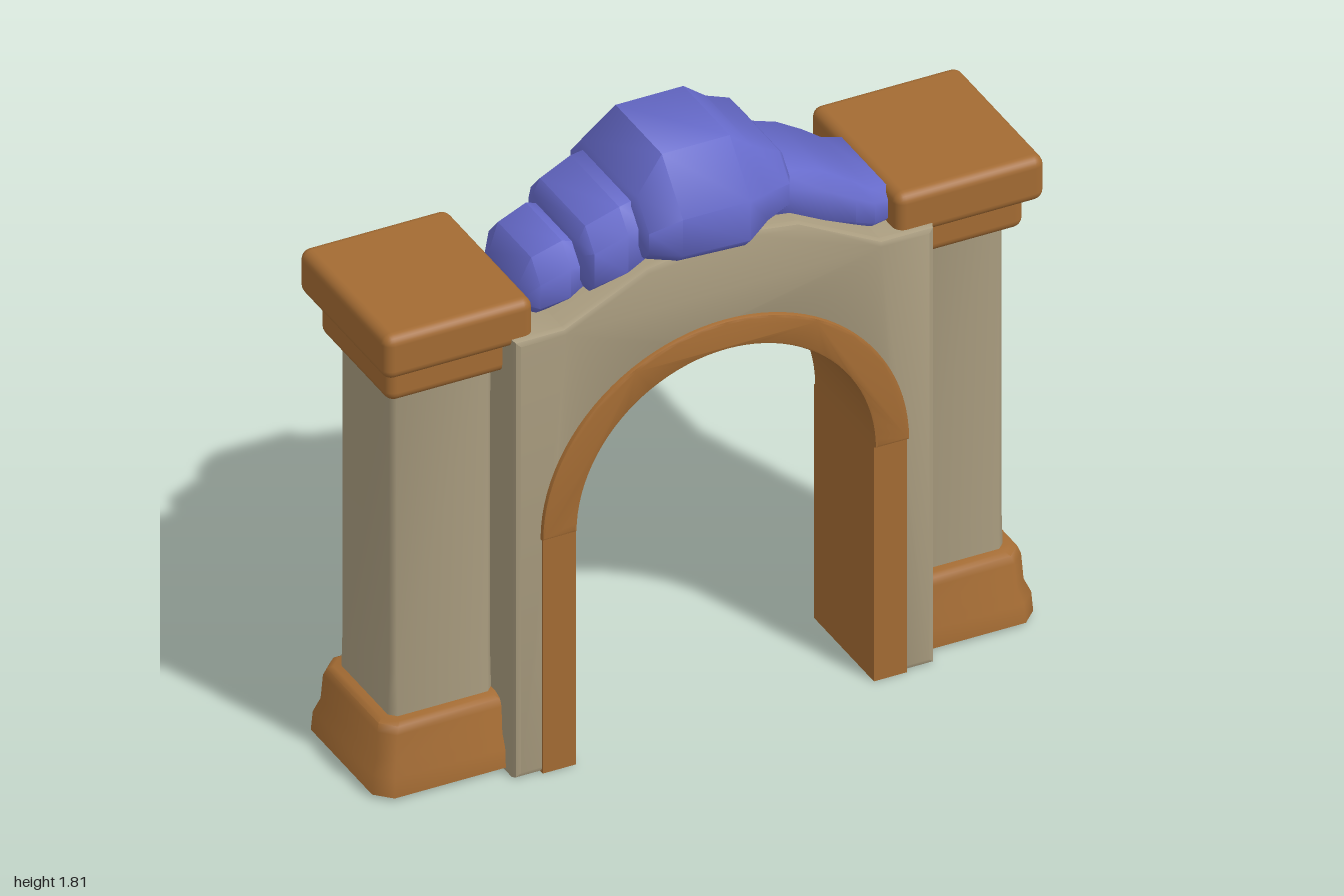
import * as THREE from 'three';
import { toCreasedNormals } from 'three/addons/utils/BufferGeometryUtils.js';
import { RoundedBoxGeometry } from 'three/addons/geometries/RoundedBoxGeometry.js';

const mat = (name, color) => Object.assign(new THREE.MeshStandardMaterial({ color }), { name });

// Chamfered rectangle in the plane (a, b): lo and hi are [da, db] chamfers at low and high a
function ring(a0, a1, b0, b1, lo, hi) {
  const [la, lb] = lo, [ha, hb] = hi;
  return [
    [a1, b0 + hb], [a1, b1 - hb], [a1 - ha, b1], [a0 + la, b1],
    [a0, b1 - lb], [a0, b0 + lb], [a0 + la, b0], [a1 - ha, b0],
  ];
}

// Skin over rings placed along the x or y axis; sections are [position, ring]
function loft(axis, sections, crease, capStart = true) {
  const pos = [], index = [], n = 8;
  for (const [t, pts] of sections)
    for (const [a, b] of pts) pos.push(...(axis === 'x' ? [t, a, b] : [b, t, a]));
  for (let i = 0; i < sections.length - 1; i++)
    for (let j = 0; j < n; j++) {
      const p = i * n + j, q = i * n + (j + 1) % n;
      index.push(p, q, q + n, p, q + n, p + n);
    }
  const last = (sections.length - 1) * n;
  for (let j = 1; j < n - 1; j++) {
    if (capStart) index.push(0, j + 1, j);
    index.push(last, last + j, last + j + 1);
  }
  const geo = new THREE.BufferGeometry();
  geo.setAttribute('position', new THREE.Float32BufferAttribute(pos, 3));
  geo.setIndex(index);
  return toCreasedNormals(geo, crease);
}

// Extrusion between two depths, bevelled inward by b
function slab(shape, z0, z1, b) {
  const geo = new THREE.ExtrudeGeometry(shape, {
    depth: z1 - z0 - 2 * b, curveSegments: 24, bevelEnabled: b > 0,
    bevelThickness: b, bevelSize: b, bevelOffset: -b, bevelSegments: 2,
  });
  geo.translate(0, 0, z0 + b);
  return toCreasedNormals(geo, 0.5);
}

export function createModel() {
  const group = new THREE.Group();
  group.name = 'stoneArchway';
  const stone = mat('tanStone', 0xa89b7e);
  const trim = mat('brownTrim', 0xa36b33);
  trim.side = THREE.DoubleSide;
  const rock = mat('blueRock', 0x666aca);
  const add = (name, geo, material, parent = group) => {
    const m = new THREE.Mesh(geo, material);
    m.name = name;
    parent.add(m);
    return m;
  };

  // Wall with a stepped gable and an arched opening
  const cx = 0.012, spring = 0.75;
  const wall = new THREE.Shape();
  wall.moveTo(0.65, 0);
  [[0.65, 1.4], [0.49, 1.4], [0.24, 1.53], [0.1, 1.55], [-0.1, 1.54], [-0.22, 1.52],
    [-0.47, 1.4], [-0.62, 1.4], [-0.62, 0], [cx - 0.5, 0], [cx - 0.5, spring]]
    .forEach(([x, y]) => wall.lineTo(x, y));
  wall.absarc(cx, spring, 0.5, Math.PI, 0, true);
  wall.lineTo(cx + 0.5, 0);
  add('archWall', slab(wall, -0.09, 0.25, 0.018), stone);

  // Brown lining: raised arch band and two straight jambs
  const band = new THREE.Shape();
  band.moveTo(cx + 0.555, spring);
  band.absellipse(cx, spring, 0.555, 0.54, 0, Math.PI, false);
  band.lineTo(cx - 0.45, spring);
  band.absarc(cx, spring, 0.45, Math.PI, 0, true);
  add('archBand', slab(band, -0.1, 0.264, 0.008), trim);
  for (const s of [-1, 1]) {
    const jamb = add(s < 0 ? 'rightJamb' : 'leftJamb', new THREE.BoxGeometry(0.1, spring, 0.352), trim);
    jamb.position.set(cx + s * 0.5, spring / 2, 0.078);
  }

  // Pillars: flared base, shaft and two-step cap
  const square = (h, c) => ring(-h, h, -h, h, [c, c], [c, c]);
  const box = (w, h, d, r) => new RoundedBoxGeometry(w, h, d, 3, r);
  for (const [name, x] of [['rightPillar', -0.775], ['leftPillar', 0.77]]) {
    const pillar = new THREE.Group();
    pillar.name = name;
    pillar.position.set(x, 0, -0.03);
    group.add(pillar);
    add('shaft', loft('y', [
      [0.05, square(0.156, 0.02)], [0.24, square(0.156, 0.02)],
      [0.36, square(0.152, 0.015)], [1.3, square(0.153, 0.015)],
    ], 0.9), stone, pillar);
    add('base', loft('y', [
      [0.01, square(0.226, 0.045)], [0.07, square(0.222, 0.045)], [0.11, square(0.205, 0.04)],
      [0.19, square(0.2, 0.04)], [0.212, square(0.192, 0.04)], [0.22, square(0.178, 0.035)],
    ], 0.9, false), trim, pillar);
    add('capLower', box(0.38, 0.14, 0.41, 0.03), trim, pillar).position.y = 1.33;
    add('capUpper', box(0.45, 0.14, 0.52, 0.03), trim, pillar).position.y = 1.44;
  }

  // Boulders along the gable; rows are [x, yLow, yHigh, zBack, zFront, low chamfer, high chamfer]
  const boulders = {
    keystoneRock: [
      [-0.232, 1.55, 1.66, -0.18, 0.2, 0.03, 0.04],
      [-0.215, 1.535, 1.71, -0.215, 0.25, 0.03, 0.08],
      [-0.13, 1.52, 1.81, -0.24, 0.285, 0.035, 0.14],
      [0.075, 1.51, 1.81, -0.24, 0.285, 0.035, 0.14],
      [0.145, 1.54, 1.755, -0.21, 0.25, 0.03, 0.1],
      [0.225, 1.55, 1.715, -0.2, 0.22, 0.03, 0.07],
      [0.245, 1.56, 1.69, -0.16, 0.18, 0.03, 0.05],
    ],
    innerRightRock: [
      [-0.38, 1.47, 1.6, -0.14, 0.18, 0.03, 0.03],
      [-0.36, 1.45, 1.645, -0.165, 0.21, 0.03, 0.06],
      [-0.26, 1.47, 1.68, -0.18, 0.215, 0.03, 0.06],
      [-0.2, 1.5, 1.69, -0.18, 0.21, 0.03, 0.06],
    ],
    outerRightRock: [
      [-0.535, 1.41, 1.48, -0.1, 0.13, 0.02, 0.03],
      [-0.5, 1.395, 1.56, -0.14, 0.165, 0.03, 0.06],
      [-0.41, 1.41, 1.59, -0.15, 0.17, 0.03, 0.06],
      [-0.35, 1.44, 1.57, -0.14, 0.16, 0.03, 0.05],
    ],
    leftRock: [
      [0.2, 1.5, 1.66, -0.16, 0.19, 0.03, 0.04],
      [0.36, 1.44, 1.605, -0.165, 0.19, 0.03, 0.045],
      [0.44, 1.41, 1.555, -0.165, 0.19, 0.03, 0.04],
      [0.5, 1.385, 1.51, -0.16, 0.185, 0.03, 0.03],
      [0.57, 1.385, 1.5, -0.14, 0.17, 0.03, 0.03],
    ],
  };
  for (const [name, rows] of Object.entries(boulders))
    add(name, loft('x', rows.map(([x, y0, y1, z0, z1, lo, hi]) =>
      [x, ring(y0, y1, z0, z1, [lo, lo], [hi, hi * 0.9])]), 0.85), rock);

  return group;
}
